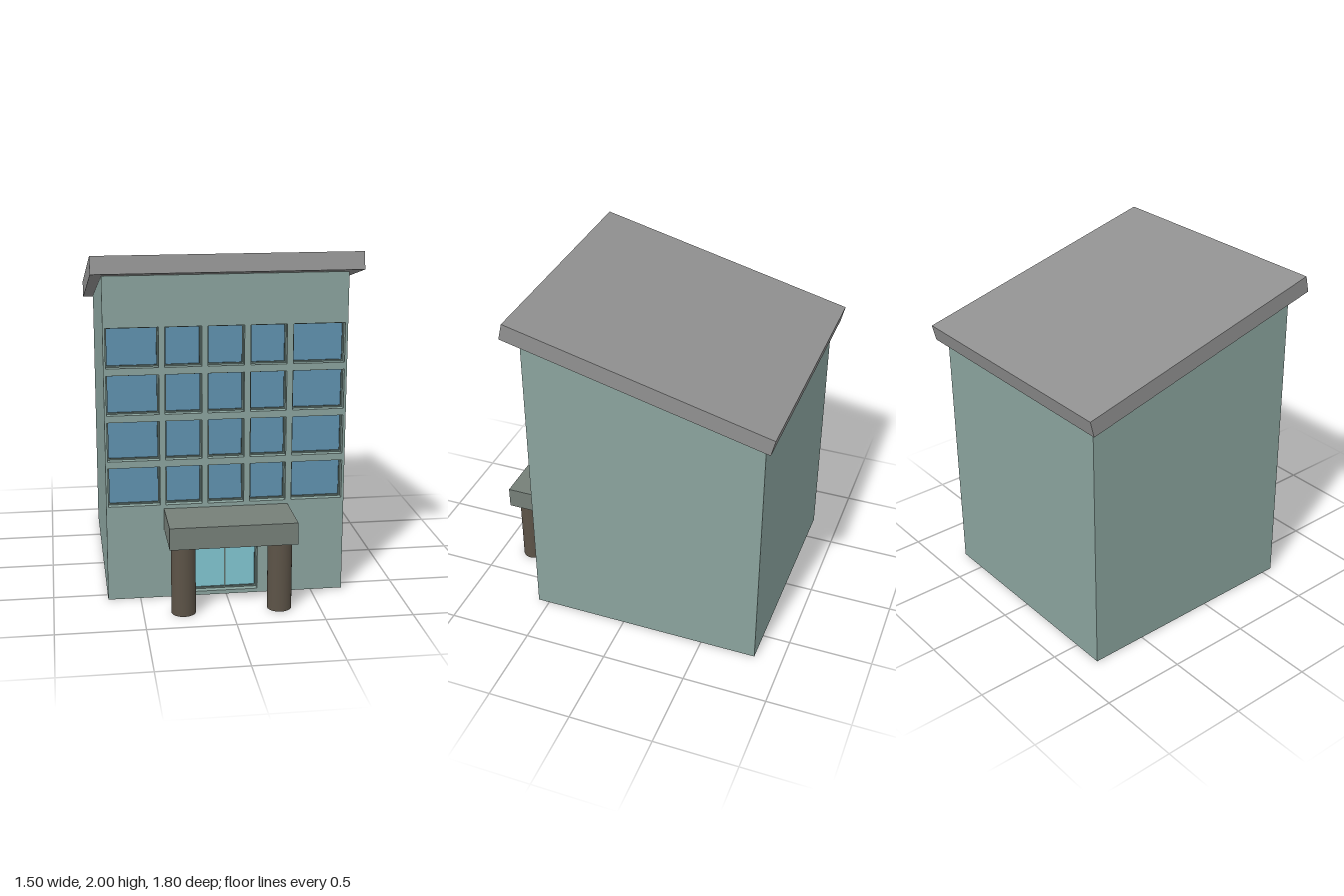
import * as THREE from 'three';

const mat = (color) => new THREE.MeshStandardMaterial({ color, flatShading: true });
const wallMat = mat(0x8aa39d), roofMat = mat(0x909090), canopyMat = mat(0x757f78);
const glassMat = mat(0x5f91ae), doorMat = mat(0x80c4d0), trimMat = mat(0x5f726d);
const columnMat = new THREE.MeshStandardMaterial({ color: 0x5c5347 });

const FRONT = 0.57, RECESS = 0.055, INNER = FRONT - RECESS;
const LEFT = -0.687, RIGHT = 0.685;

function add(parent, name, geometry, material, x = 0, y = 0, z = 0) {
  const mesh = new THREE.Mesh(geometry, material);
  mesh.name = name;
  mesh.position.set(x, y, z);
  parent.add(mesh);
  return mesh;
}

const box = (w, h, d) => new THREE.BoxGeometry(w, h, d);

// Side profile given as [z, y] points, swept along x from x0 to x1
function sideSweep(points, x0, x1) {
  const shape = new THREE.Shape(points.map(([z, y]) => new THREE.Vector2(z, y)));
  const geo = new THREE.ExtrudeGeometry(shape, { depth: x1 - x0, bevelEnabled: false });
  return geo.rotateY(-Math.PI / 2).translate(x1, 0, 0);
}

const rect = (x0, y0, x1, y1, Type = THREE.Shape) => new Type([
  new THREE.Vector2(x0, y0), new THREE.Vector2(x1, y0),
  new THREE.Vector2(x1, y1), new THREE.Vector2(x0, y1),
]);

// Thin border lining an opening
function frame([x0, y0, x1, y1], t, depth) {
  const shape = rect(x0, y0, x1, y1);
  shape.holes.push(rect(x0 + t, y0 + t, x1 - t, y1 - t, THREE.Path));
  return new THREE.ExtrudeGeometry(shape, { depth, bevelEnabled: false });
}

function pane(parent, name, [x0, y0, x1, y1], material) {
  add(parent, name, box(x1 - x0, y1 - y0, 0.008), material, (x0 + x1) / 2, (y0 + y1) / 2, INNER + 0.004);
}

export function createModel() {
  const building = new THREE.Group();
  building.name = 'building';

  // Main block with a sloping top, behind the pierced front wall
  add(building, 'body', sideSweep([[-0.835, 0], [INNER, 0], [INNER, 1.866], [-0.835, 1.537]], LEFT, RIGHT), wallMat);

  // Openings: four floors of five windows, and the entrance
  const columns = [[-0.674, -0.38], [-0.347, -0.14], [-0.106, 0.1], [0.135, 0.341], [0.376, 0.67]];
  const rows = [[0.563, 0.79], [0.83, 1.057], [1.097, 1.325], [1.366, 1.593]];
  const windows = rows.flatMap(([y0, y1]) => columns.map(([x0, x1]) => [x0, y0, x1, y1]));
  const door = [-0.188, 0.023, 0.182, 0.393];

  const wall = rect(LEFT, 0, RIGHT, 1.88);
  for (const r of [...windows, door]) wall.holes.push(rect(...r, THREE.Path));
  add(building, 'frontWall', new THREE.ExtrudeGeometry(wall, { depth: RECESS, bevelEnabled: false }), wallMat, 0, 0, INNER);

  // Windows
  const windowGroup = new THREE.Group();
  windowGroup.name = 'windows';
  building.add(windowGroup);
  for (const r of windows) {
    pane(windowGroup, 'windowPane', r, glassMat);
    add(windowGroup, 'windowFrame', frame(r, 0.009, 0.018), trimMat, 0, 0, INNER);
  }

  // Double entrance door
  const entrance = new THREE.Group();
  entrance.name = 'entrance';
  building.add(entrance);
  pane(entrance, 'doorGlass', door, doorMat);
  add(entrance, 'doorFrame', frame(door, 0.01, 0.018), trimMat, 0, 0, INNER);
  add(entrance, 'doorMullion', box(0.007, 0.36, 0.012), trimMat, -0.003, 0.208, INNER + 0.006);

  // Porch canopy on two round columns
  add(building, 'canopy', box(0.715, 0.126, 0.33), canopyMat, -0.002, 0.477, 0.735);
  for (const x of [-0.274, 0.272])
    add(building, 'porchColumn', new THREE.CylinderGeometry(0.069, 0.069, 0.414, 32), columnMat, x, 0.207, 0.794);

  // Overhanging slanted roof slab
  add(building, 'roof', sideSweep([[-0.877, 1.524], [0.66, 1.903], [0.637, 2], [-0.9, 1.621]], -0.75, 0.75), roofMat);

  return building;
}
